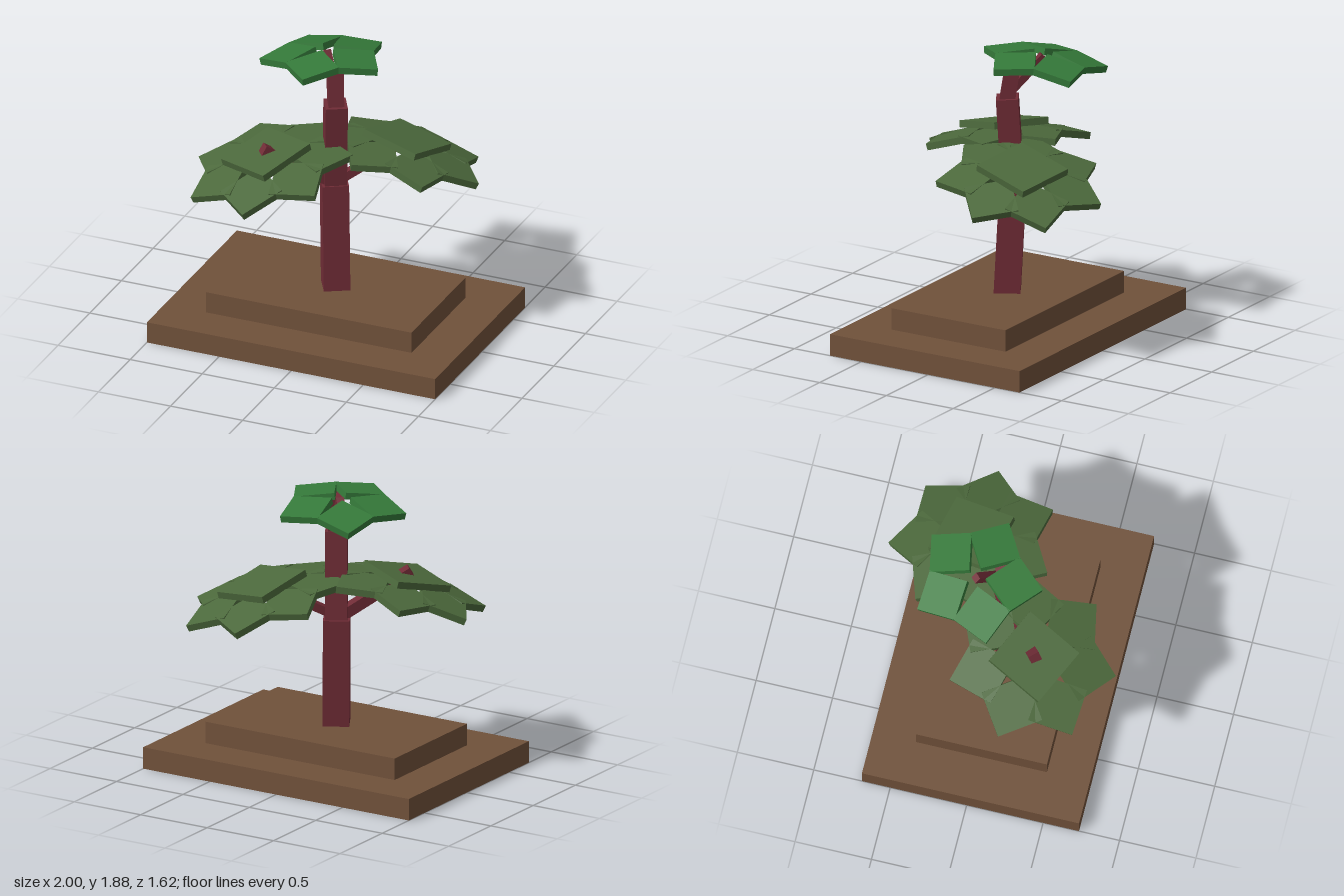
import * as THREE from 'three';

const UP = new THREE.Vector3(0, 1, 0);
const DEG = Math.PI / 180;

export function createModel() {
  const model = new THREE.Group();
  const earth = new THREE.MeshStandardMaterial({ name: 'brown earth', color: 0x70513a });
  const bark = new THREE.MeshStandardMaterial({ name: 'red bark', color: 0x702c36 });
  const olive = new THREE.MeshStandardMaterial({ name: 'olive leaf', color: 0x4c693c });
  const green = new THREE.MeshStandardMaterial({ name: 'bright leaf', color: 0x357a3a });

  function box(name, parent, material, w, h, d, x, y, z) {
    const mesh = new THREE.Mesh(new THREE.BoxGeometry(w, h, d), material);
    mesh.name = name;
    mesh.position.set(x, y, z);
    parent.add(mesh);
    return mesh;
  }

  // Square beam between two points, turned about its own axis
  function beam(name, from, to, size, turn) {
    const a = new THREE.Vector3(...from), b = new THREE.Vector3(...to);
    const mid = a.clone().lerp(b, 0.5);
    const mesh = box(name, model, bark, size, a.distanceTo(b), size, mid.x, mid.y, mid.z);
    mesh.quaternion.setFromUnitVectors(UP, b.sub(a).normalize());
    mesh.rotateY(turn * DEG);
  }

  // Ring of square leaves, corners outward, drooping from a leaning centre
  function canopy(name, material, o) {
    const group = new THREE.Group();
    group.name = name;
    group.position.set(...o.at);
    group.quaternion.setFromUnitVectors(UP, new THREE.Vector3(o.lean[0], 1, o.lean[1]).normalize());
    for (let i = 0; i < o.count; i++) {
      const spoke = new THREE.Group();
      spoke.name = 'leafSpoke';
      spoke.rotation.y = o.phase * DEG + (i * 2 * Math.PI) / o.count;
      const hinge = new THREE.Group();
      hinge.name = 'leafHinge';
      hinge.position.set(0, -o.radius * Math.tan(o.droop * DEG), o.radius);
      hinge.rotation.x = o.droop * DEG;
      box('leaf', hinge, material, o.size, 0.045, o.size, 0, 0, 0).rotation.y = Math.PI / 4;
      spoke.add(hinge);
      group.add(spoke);
    }
    if (o.crown) {
      box('crownLeaf', group, material, 0.41, 0.045, 0.41, 0, 0, 0).rotation.y = o.crown * DEG;
    }
    model.add(group);
  }

  // Stepped ground
  box('lowerGround', model, earth, 2, 0.143, 1.42, 0, 0.0715, 0.025);
  box('upperGround', model, earth, 1.425, 0.143, 0.855, 0, 0.2145, 0.027);

  // Trunk in three leaning sections
  beam('lowerTrunk', [0, 0.28, 0.03], [-0.022, 1.005, 0], 0.17, 30);
  beam('middleTrunk', [-0.02, 0.99, 0], [0, 1.575, 0.03], 0.142, 30);
  beam('upperTrunk', [0, 1.56, 0.03], [-0.02, 1.82, -0.005], 0.1, 30);

  // Branches
  beam('leftBranch', [0.32, 1.225, -0.27], [0, 1.02, 0], 0.055, 45);
  beam('rightBranch', [-0.02, 1.0, 0], [-0.39, 1.295, 0.3], 0.072, 45);
  beam('topBranch', [-0.01, 1.63, 0], [-0.145, 1.84, -0.15], 0.05, 45);

  // Leaf canopies
  canopy('rightCanopy', olive, {
    at: [-0.37, 1.258, 0.285], lean: [-0.18, 0.18], count: 7, phase: 4,
    radius: 0.335, size: 0.3, droop: 12, crown: -25,
  });
  canopy('leftCanopy', olive, {
    at: [0.35, 1.24, -0.3], lean: [0.19, -0.19], count: 7, phase: 36,
    radius: 0.335, size: 0.3, droop: 12, crown: -12,
  });
  canopy('topCanopy', green, {
    at: [-0.147, 1.86, -0.146], lean: [-0.08, -0.08], count: 5, phase: 3,
    radius: 0.24, size: 0.26, droop: 11,
  });
  return model;
}
